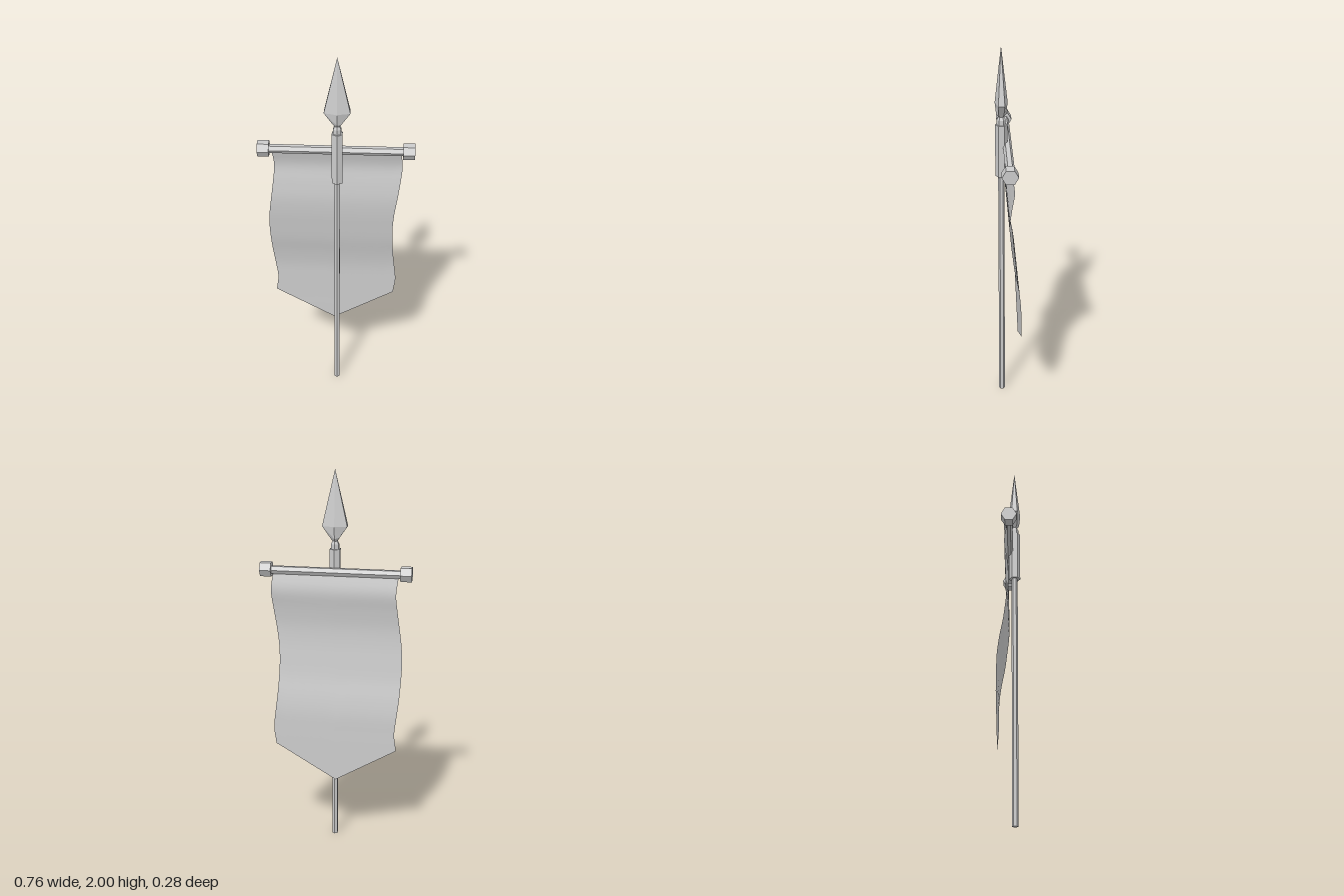
import * as THREE from 'three';

const flat = new THREE.MeshStandardMaterial({ color: 0xcccccc, flatShading: true });
const clothMat = new THREE.MeshStandardMaterial({ color: 0xcccccc, side: THREE.DoubleSide });

function add(parent, name, geometry, material = flat) {
  const mesh = new THREE.Mesh(geometry, material);
  mesh.name = name;
  parent.add(mesh);
  return mesh;
}

// Six-sided bar standing between two heights
function hexPost(radius, y0, y1) {
  return new THREE.CylinderGeometry(radius, radius, y1 - y0, 6).translate(0, (y0 + y1) / 2, 0);
}

// Six-sided bar lying along x, flat side up
function hexRail(radius, length) {
  return new THREE.CylinderGeometry(radius, radius, length, 6).rotateZ(Math.PI / 2);
}

// Spearhead: turned socket that flattens into a blade
function spearheadGeometry() {
  const profile = [
    [0, 1.6], [0.022, 1.605], [0.022, 1.63], [0.014, 1.645],
    [0.025, 1.66], [0.073, 1.72], [0, 2],
  ].map(([r, y]) => new THREE.Vector2(r, y));
  const geo = new THREE.LatheGeometry(profile, 6);
  const pos = geo.attributes.position;
  for (let i = 0; i < pos.count; i++) {
    const flatten = THREE.MathUtils.lerp(1, 0.43, THREE.MathUtils.clamp((pos.getY(i) - 1.66) / 0.06, 0, 1));
    pos.setZ(i, pos.getZ(i) * flatten);
  }
  return geo;
}

// Hanging cloth: a plane that billows down its length and ends in a point
function clothGeometry() {
  const top = 1.485, tip = 0.37, corner = 0.56, halfWidth = 0.319;
  // evenly spaced from top to tip: [sideways sway, billow]
  const wave = [
    [0, 0], [0.01, -0.018], [0.002, -0.006], [-0.01, 0.003], [-0.022, 0],
    [-0.027, -0.01], [-0.024, -0.022], [-0.018, -0.04], [-0.008, -0.052],
    [0.001, -0.054], [-0.01, -0.055], [-0.01, -0.055], [-0.01, -0.055],
  ];
  const curve = new THREE.CatmullRomCurve3(
    wave.map(([x, z]) => new THREE.Vector3(x, 0, z)), false, 'catmullrom');
  const geo = new THREE.PlaneGeometry(2, 1, 12, 40);
  const pos = geo.attributes.position;
  const p = new THREE.Vector3();
  for (let i = 0; i < pos.count; i++) {
    const u = pos.getX(i), v = 0.5 - pos.getY(i);
    const bottom = tip + (corner - tip) * Math.abs(u);
    const y = top + (bottom - top) * v;
    curve.getPoint((top - y) / (top - tip), p);
    pos.setXYZ(i, u * halfWidth + p.x, y, p.z);
  }
  geo.computeVertexNormals();
  return geo;
}

export function createModel() {
  const model = new THREE.Group();
  model.name = 'banner';
  const banner = new THREE.Group();
  banner.name = 'turnedBanner';
  banner.rotation.y = THREE.MathUtils.degToRad(15);
  model.add(banner);

  // Pole, sleeve and spearhead stand just ahead of the crossbar
  const staff = new THREE.Group();
  staff.name = 'staff';
  staff.position.set(0.007, 0, 0.033);
  banner.add(staff);
  add(staff, 'pole', hexPost(0.016, 0, 1.4));
  add(staff, 'sleeve', hexPost(0.03, 1.33, 1.605));
  add(staff, 'spearhead', spearheadGeometry());

  // Crossbar with end knobs
  add(banner, 'crossbar', hexRail(0.022, 0.7)).position.set(0, 1.493, 0.003);
  for (const side of [-1, 1]) {
    add(banner, side > 0 ? 'leftKnob' : 'rightKnob', hexRail(0.04, 0.057))
      .position.set(side * 0.356, 1.495, 0.006);
  }

  add(banner, 'cloth', clothGeometry(), clothMat);
  return model;
}
